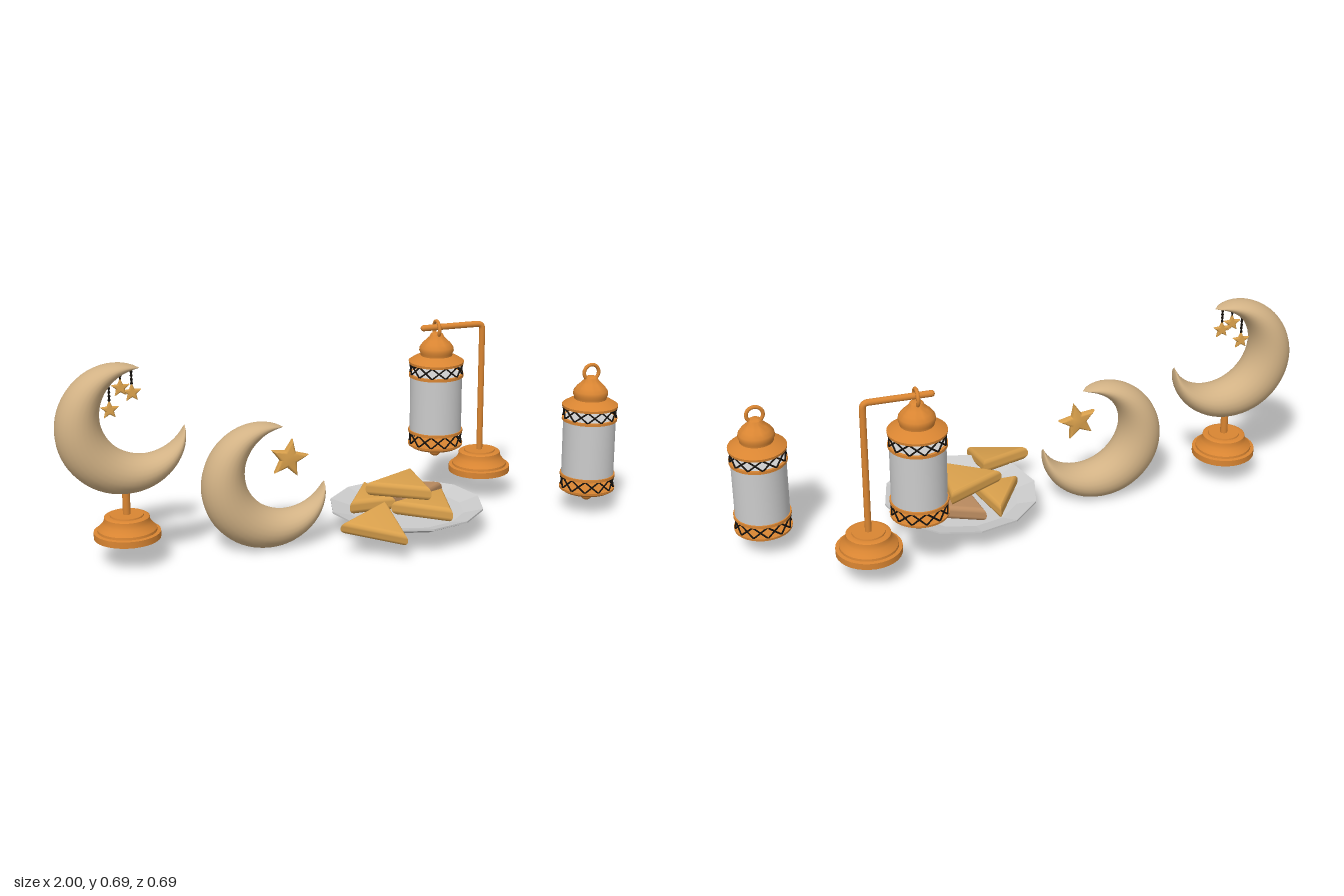
import * as THREE from 'three';
import { toCreasedNormals } from 'three/addons/utils/BufferGeometryUtils.js';

const mat = (color, extra = {}) => new THREE.MeshStandardMaterial({ color, ...extra });
const ORANGE = mat(0xd98532), MOON = mat(0xd2b285), PASTRY = mat(0xd9a04c), BROWN = mat(0xb98a5f);
const DARK = mat(0x15110d), GREY = mat(0xcccccc), PLATE = mat(0xcccccc, { flatShading: true });
const V = (x, y, z) => new THREE.Vector3(x, y, z);

function add(parent, name, geometry, material, x = 0, y = 0, z = 0) {
  const mesh = new THREE.Mesh(geometry, material);
  mesh.name = name;
  mesh.position.set(x, y, z);
  parent.add(mesh);
  return mesh;
}

function subgroup(parent, name, x = 0, y = 0, z = 0) {
  const g = new THREE.Group();
  g.name = name;
  g.position.set(x, y, z);
  parent.add(g);
  return g;
}

const lathe = (points, sides = 32) =>
  toCreasedNormals(new THREE.LatheGeometry(points.map(([r, y]) => new THREE.Vector2(r, y)), sides), 0.6);

// Straight round bar between two points
function bar(parent, name, a, b, r, material, sides = 6) {
  const d = b.clone().sub(a);
  const mesh = add(parent, name, new THREE.CylinderGeometry(r, r, d.length(), sides), material);
  mesh.position.copy(a).addScaledVector(d, 0.5);
  mesh.quaternion.setFromUnitVectors(V(0, 1, 0), d.normalize());
}

// Solid outline with a rounded edge, centred on its thickness
function pillow(points, half, inset) {
  const shape = new THREE.Shape(points.map(([x, y]) => new THREE.Vector2(x, y)));
  const geo = new THREE.ExtrudeGeometry(shape, {
    depth: 0.002, bevelThickness: half, bevelSize: inset, bevelOffset: -inset, bevelSegments: 5,
  });
  geo.translate(0, 0, -0.001);
  return toCreasedNormals(geo, 0.7);
}

function starGeometry(r, half, turn) {
  const pts = [];
  for (let i = 0; i < 10; i++) {
    const a = Math.PI / 2 + turn + i * Math.PI / 5, q = i % 2 ? r * 0.46 : r;
    pts.push([q * Math.cos(a), q * Math.sin(a)]);
  }
  return pillow(pts, half, r * 0.16);
}

// Crescent swept between an outer and an inner arc, with elliptical sections
function crescentGeometry() {
  const N = 48, M = 24, pos = [], idx = [], deg = Math.PI / 180;
  for (let i = 0; i <= N; i++) {
    const u = -1 + 2 * i / N;
    const ao = (180 + 142 * u) * deg, ai = (180 + 122 * u) * deg;
    const ro = 0.225 - 0.022 * Math.abs(u) ** 6;
    const ox = ro * Math.cos(ao), oy = ro * Math.sin(ao);
    const ix = 0.083 + 0.147 * Math.cos(ai), iy = 0.147 * Math.sin(ai);
    const h = 0.085 * Math.max(0, 1 - u * u) ** 0.6;
    for (let j = 0; j < M; j++) {
      const v = j / M * 2 * Math.PI, c = Math.cos(v) / 2;
      pos.push((ox + ix) / 2 + (ox - ix) * c, (oy + iy) / 2 + (oy - iy) * c, h * Math.sin(v));
      if (i === N) continue;
      const a = i * M + j, b = a + M, k = i * M + (j + 1) % M;
      idx.push(a, b, k, b, k + M, k);
    }
  }
  const geo = new THREE.BufferGeometry();
  geo.setAttribute('position', new THREE.Float32BufferAttribute(pos, 3));
  geo.setIndex(idx);
  geo.computeVertexNormals();
  return geo.rotateZ(35 * deg);
}

// Tiered round foot shared by both stands
const footGeometry = () => lathe([[0, 0.095], [0.111, 0.095], [0.111, 0.117], [0.099, 0.119], [0.098, 0.127],
  [0.09, 0.135], [0.08, 0.147], [0.076, 0.158], [0.075, 0.168], [0.07, 0.171], [0.056, 0.171], [0.055, 0.176], [0, 0.176]]);

function lantern(parent, name, x, y, z, ringTurn) {
  const g = subgroup(parent, name, x, y, z);
  add(g, 'bottomKnob', new THREE.SphereGeometry(0.022, 20, 14), ORANGE, 0, 0.19, 0);
  add(g, 'lanternBase', lathe([[0, 0.205], [0.084, 0.205], [0.098, 0.214], [0.099, 0.222], [0, 0.222]]), ORANGE);
  for (const ry of [0.267, 0.475])
    add(g, 'glassRim', lathe([[0.088, ry - 0.005], [0.098, ry - 0.005], [0.098, ry + 0.005], [0.088, ry + 0.005]]), ORANGE);
  add(g, 'glass', new THREE.CylinderGeometry(0.093, 0.093, 0.208, 32), GREY, 0, 0.371, 0);
  add(g, 'roof', lathe([[0, 0.517], [0.098, 0.517], [0.099, 0.526], [0.078, 0.539], [0.057, 0.547], [0.058, 0.555],
    [0.062, 0.565], [0.06, 0.577], [0.05, 0.591], [0.036, 0.604], [0.027, 0.613], [0.022, 0.624], [0.014, 0.629], [0, 0.63]]), ORANGE);
  add(g, 'hangingRing', new THREE.TorusGeometry(0.028, 0.0065, 10, 28), ORANGE, 0, 0.642, 0).rotation.y = ringTurn;
  // Crossed lattice bands above and below the glass
  for (const [lo, hi] of [[0.221, 0.263], [0.479, 0.518]]) {
    const band = subgroup(g, 'lattice');
    for (let i = 0; i < 12; i++) {
      const p = (k, h) => V(0.095 * Math.cos(k * Math.PI / 6), h, 0.095 * Math.sin(k * Math.PI / 6));
      bar(band, 'latticeBar', p(i, lo), p(i + 1, hi), 0.003, DARK);
      bar(band, 'latticeBar', p(i, hi), p(i + 1, lo), 0.003, DARK);
    }
  }
}

// Triangular pastry from three [x, z] corners at a given mid height
function pastry(parent, corners, y, half, material, tilt = 0) {
  const cx = corners.reduce((s, c) => s + c[0], 0) / 3, cz = corners.reduce((s, c) => s + c[1], 0) / 3;
  const geo = pillow(corners.map(([x, z]) => [x - cx, cz - z]), half, 0.02).rotateX(-Math.PI / 2);
  add(parent, 'pastry', geo, material, cx, y, cz).rotation.x = tilt;
}

export function createModel() {
  const model = new THREE.Group();
  model.name = 'festiveDecorationSet';
  const Z = 0.04;

  // Crescent on a stand, with hanging stars
  const standMoon = subgroup(model, 'crescentOnStand', -0.775, 0, Z);
  add(standMoon, 'crescent', crescentGeometry(), MOON, 0, 0.475, 0);
  add(standMoon, 'foot', footGeometry(), ORANGE);
  bar(standMoon, 'post', V(0, 0.17, 0), V(0, 0.27, 0), 0.013, ORANGE, 16);
  for (const [x, top, y] of [[-0.043, 0.635, 0.537], [-0.005, 0.66, 0.608], [0.032, 0.672, 0.588]]) {
    bar(standMoon, 'string', V(x, top, 0), V(x, y + 0.025, 0), 0.003, DARK);
    for (let h = top; h > y + 0.03; h -= 0.013)
      add(standMoon, 'bead', new THREE.SphereGeometry(0.005, 8, 6), DARK, x, h, 0);
    add(standMoon, 'hangingStar', starGeometry(0.032, 0.006, 0), PASTRY, x, y, 0);
  }

  // Loose crescent with one larger star
  const looseMoon = subgroup(model, 'looseCrescent', -0.295, 0, Z);
  add(looseMoon, 'crescent', crescentGeometry(), MOON, 0, 0.229, 0);
  add(looseMoon, 'star', starGeometry(0.07, 0.013, -0.2), PASTRY, 0.078, 0.31, 0);

  // Shallow faceted plate
  add(model, 'plate', new THREE.LatheGeometry([[0, 0.068], [0.217, 0.068], [0.269, 0.092], [0.269, 0.098],
    [0.2, 0.079], [0, 0.077]].map(([r, y]) => new THREE.Vector2(r, y)), 12), PLATE, 0.21, 0, 0.035);

  // Pastries: three on the plate, one on top, one leaning on the rim
  const food = subgroup(model, 'pastries');
  pastry(food, [[0.12, -0.16], [0, 0.043], [0.168, 0.043]], 0.107, 0.024, PASTRY);
  pastry(food, [[0.17, -0.155], [0.382, -0.064], [0.2, 0.09]], 0.106, 0.024, BROWN);
  pastry(food, [[0.36, 0], [0.136, 0.085], [0.307, 0.23]], 0.107, 0.024, PASTRY);
  pastry(food, [[0.07, 0.005], [0.28, -0.107], [0.265, 0.134]], 0.157, 0.024, PASTRY);
  pastry(food, [[-0.093, 0.22], [0.104, 0.11], [0.104, 0.34]], 0.106, 0.022, PASTRY, 0.25);

  // Lantern hanging from a bent pole
  const stand = subgroup(model, 'lanternStand', 0.597, 0, -0.238);
  add(stand, 'foot', footGeometry(), ORANGE);
  const path = new THREE.CurvePath();
  path.add(new THREE.LineCurve3(V(0, 0.17, 0), V(0, 0.628, 0)));
  path.add(new THREE.QuadraticBezierCurve3(V(0, 0.628, 0), V(0, 0.648, 0), V(-0.02, 0.648, 0)));
  path.add(new THREE.LineCurve3(V(-0.02, 0.648, 0), V(-0.225, 0.648, 0)));
  add(stand, 'bentPole', new THREE.TubeGeometry(path, 120, 0.011, 14), ORANGE);
  add(stand, 'poleTip', new THREE.SphereGeometry(0.011, 14, 10), ORANGE, -0.225, 0.648, 0);
  lantern(model, 'hangingLantern', 0.422, 0, -0.238, Math.PI / 2);

  // Second lantern on its own
  lantern(model, 'singleLantern', 0.9, -0.13, Z, 0);
  return model;
}
